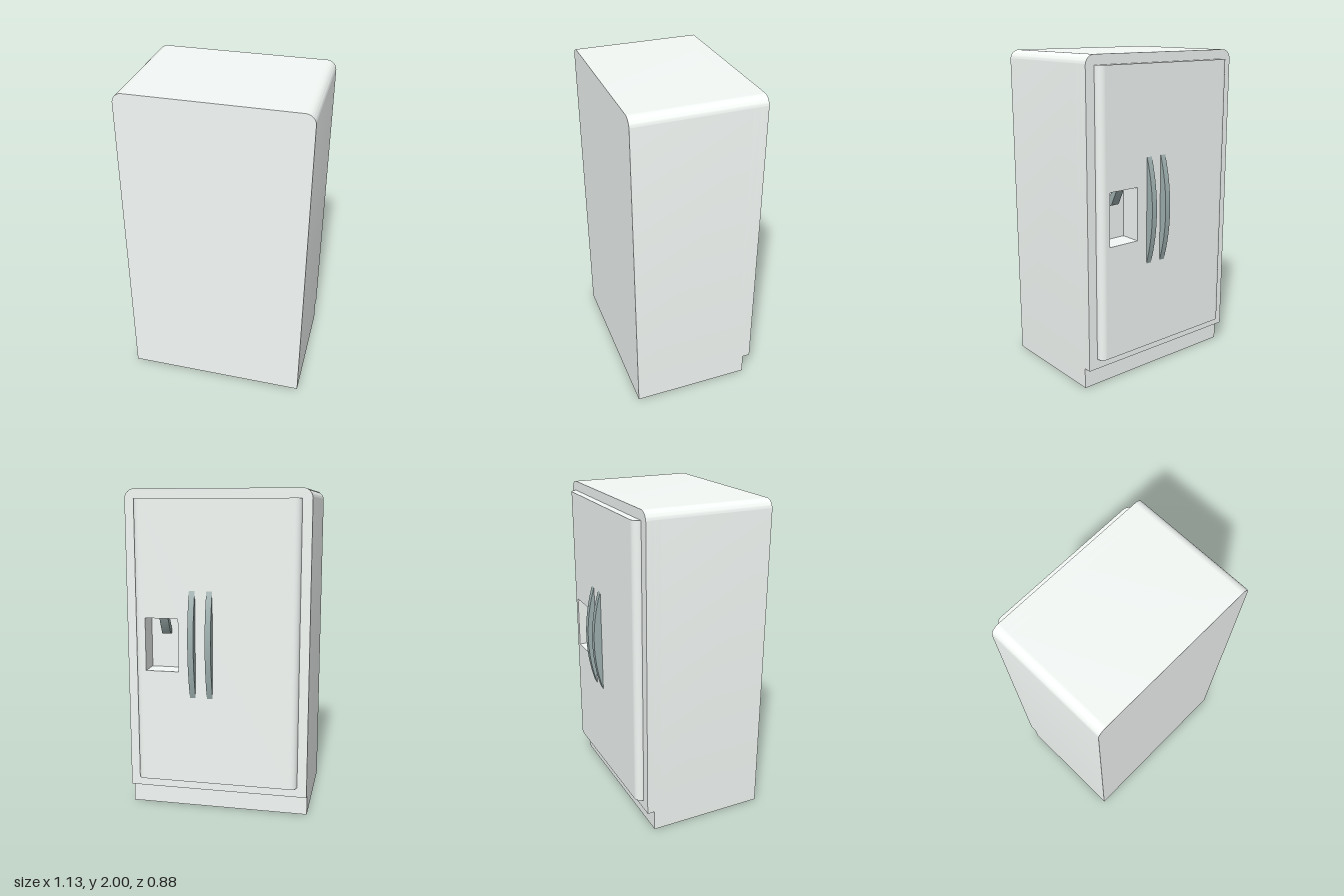
import * as THREE from 'three';
import { toCreasedNormals } from 'three/addons/utils/BufferGeometryUtils.js';

const enamel = new THREE.MeshStandardMaterial({ color: 0xf4f9f6 });
const steel = new THREE.MeshStandardMaterial({ color: 0xa0b2b1 });

const W = 0.565, BACK = 0.441, NICHE = -0.257, KICK = -0.299, FRONT = -0.346, DOOR = -0.39;
const recess = { x0: 0.23, x1: 0.437, y0: 0.9, y1: 1.228 };

// Outline with rounded top corners
function cabinetShape(bottom, r = 0.06) {
  const s = new THREE.Shape();
  s.moveTo(-W, bottom);
  s.lineTo(W, bottom);
  s.lineTo(W, 2 - r);
  s.absarc(W - r, 2 - r, r, 0, Math.PI / 2);
  s.absarc(-W + r, 2 - r, r, Math.PI / 2, Math.PI);
  s.closePath();
  return s;
}

function rectangle(Type, x0, x1, y0, y1) {
  return new Type([[x0, y0], [x1, y0], [x1, y1], [x0, y1]].map(([x, y]) => new THREE.Vector2(x, y)));
}

// Cut the dispenser opening into an outline
function withOpening(shape) {
  shape.holes.push(rectangle(THREE.Path, recess.x0, recess.x1, recess.y0, recess.y1));
  return shape;
}

// Extrude a front outline between two depths
function slab(shape, z0, z1) {
  const g = new THREE.ExtrudeGeometry(shape, { depth: z1 - z0, bevelEnabled: false, curveSegments: 12 });
  g.translate(0, 0, z0);
  return toCreasedNormals(g, 0.6);
}

export function createModel() {
  const group = new THREE.Group();
  const add = (name, geometry, material = enamel) => {
    const mesh = new THREE.Mesh(geometry, material);
    mesh.name = name;
    group.add(mesh);
    return mesh;
  };

  // Cabinet, with a front frame that overhangs the kick plate
  add('cabinet', slab(cabinetShape(0), NICHE, BACK));
  add('cabinetKickLayer', slab(withOpening(cabinetShape(0)), KICK, NICHE));
  add('cabinetFrontFrame', slab(withOpening(cabinetShape(0.13)), FRONT, KICK));

  // Door panel with the dispenser opening and rounded vertical edges
  const r = FRONT - DOOR, halfDoor = 0.506, y0 = 0.193, y1 = 1.942;
  add('doorPanel', slab(withOpening(rectangle(THREE.Shape, -halfDoor + r, halfDoor - r, y0, y1)), DOOR, FRONT));
  for (const side of [1, -1]) {
    const start = side > 0 ? Math.PI / 2 : Math.PI;
    const edge = new THREE.CylinderGeometry(r, r, y1 - y0, 12, 1, false, start, Math.PI / 2);
    edge.translate(side * (halfDoor - r), (y0 + y1) / 2, FRONT);
    add(side > 0 ? 'doorEdgeLeft' : 'doorEdgeRight', edge);
  }

  // Bowed handles
  const half = 0.33, bulge = 0.051;
  const R = (half * half + bulge * bulge) / (2 * bulge), a = Math.asin(half / R);
  const bow = new THREE.Shape();
  bow.absarc(bulge - R, 0, R, -a, a);
  bow.closePath();
  const handle = new THREE.ExtrudeGeometry(bow, { depth: 0.036, bevelEnabled: false, curveSegments: 20 });
  handle.rotateY(Math.PI / 2);
  const handleGeometry = toCreasedNormals(handle, 0.5);
  [['handleRight', 0.0155], ['handleLeft', 0.1225]].forEach(([name, x]) => {
    add(name, handleGeometry, steel).position.set(x, 1.07, DOOR);
  });

  // Tilted dispenser spout with a rounded lower end
  const spout = new THREE.Shape();
  spout.moveTo(0.018, 0.06);
  spout.lineTo(-0.018, 0.06);
  spout.lineTo(-0.018, -0.05);
  spout.absarc(0, -0.05, 0.018, Math.PI, Math.PI * 2);
  spout.closePath();
  const spoutGeometry = new THREE.ExtrudeGeometry(spout, { depth: 0.055, bevelEnabled: false, curveSegments: 8 });
  spoutGeometry.translate(0, 0, -0.0275);
  spoutGeometry.rotateY(Math.PI / 2);
  const nozzle = add('dispenserSpout', toCreasedNormals(spoutGeometry, 0.6), steel);
  nozzle.position.set(0.33, 1.18, -0.31);
  nozzle.rotation.x = -0.47;

  return group;
}
